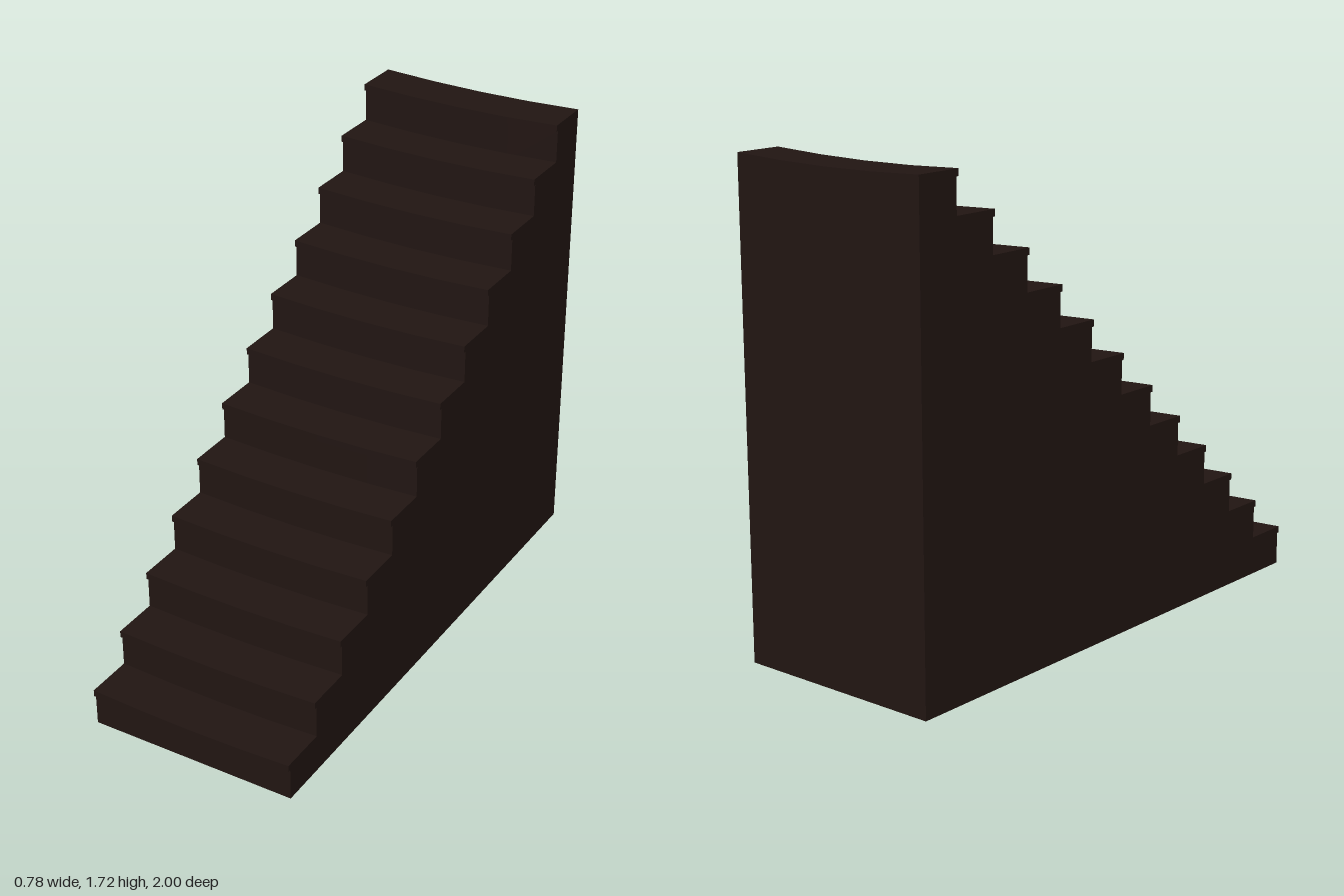
import * as THREE from 'three';

const STEPS = 12;
const HALF_WIDTH = 0.39;
const HEIGHT = 1.72;
const NOSING = 0.01; // tread overhang
const LIP = 0.024; // tread thickness
const SAG = 0.011; // wear in the middle of each tread
const RISE = HEIGHT / STEPS;
const RUN = (2 - NOSING) / STEPS;

const riserZ = (i) => 1 - NOSING - i * RUN;

// Extrude a (z, y) side profile across the width, then dip the middle of everything above the floor.
function wornExtrusion(points) {
  const shape = new THREE.Shape(points.map(([z, y]) => new THREE.Vector2(z, y)));
  const geometry = new THREE.ExtrudeGeometry(shape, {
    depth: HALF_WIDTH * 2, steps: 4, bevelEnabled: false,
  });
  geometry.rotateY(-Math.PI / 2);
  geometry.translate(HALF_WIDTH, 0, 0);
  const p = geometry.attributes.position;
  for (let i = 0; i < p.count; i++) {
    if (p.getY(i) < 0.001) continue;
    const t = p.getX(i) / HALF_WIDTH;
    p.setY(i, p.getY(i) - SAG * (1 - t * t));
  }
  geometry.computeVertexNormals();
  return geometry;
}

export function createModel() {
  const group = new THREE.Group();
  group.name = 'staircase';
  const material = new THREE.MeshStandardMaterial({ color: 0x211512, flatShading: true });

  const add = (name, points) => {
    const mesh = new THREE.Mesh(wornExtrusion(points), material);
    mesh.name = name;
    group.add(mesh);
  };

  // Solid body with risers, stopping under each tread
  const profile = [[-1, 0], [riserZ(0), 0]];
  for (let i = 0; i < STEPS; i++) {
    const y = (i + 1) * RISE - LIP;
    profile.push([riserZ(i), y], [riserZ(i + 1), y]);
  }
  add('body', profile);

  // Treads with a small overhanging nosing
  for (let i = 0; i < STEPS; i++) {
    const top = (i + 1) * RISE;
    const front = riserZ(i) + NOSING;
    const back = riserZ(i + 1);
    add(`tread${i + 1}`, [[back, top - LIP], [front, top - LIP], [front, top], [back, top]]);
  }

  return group;
}
